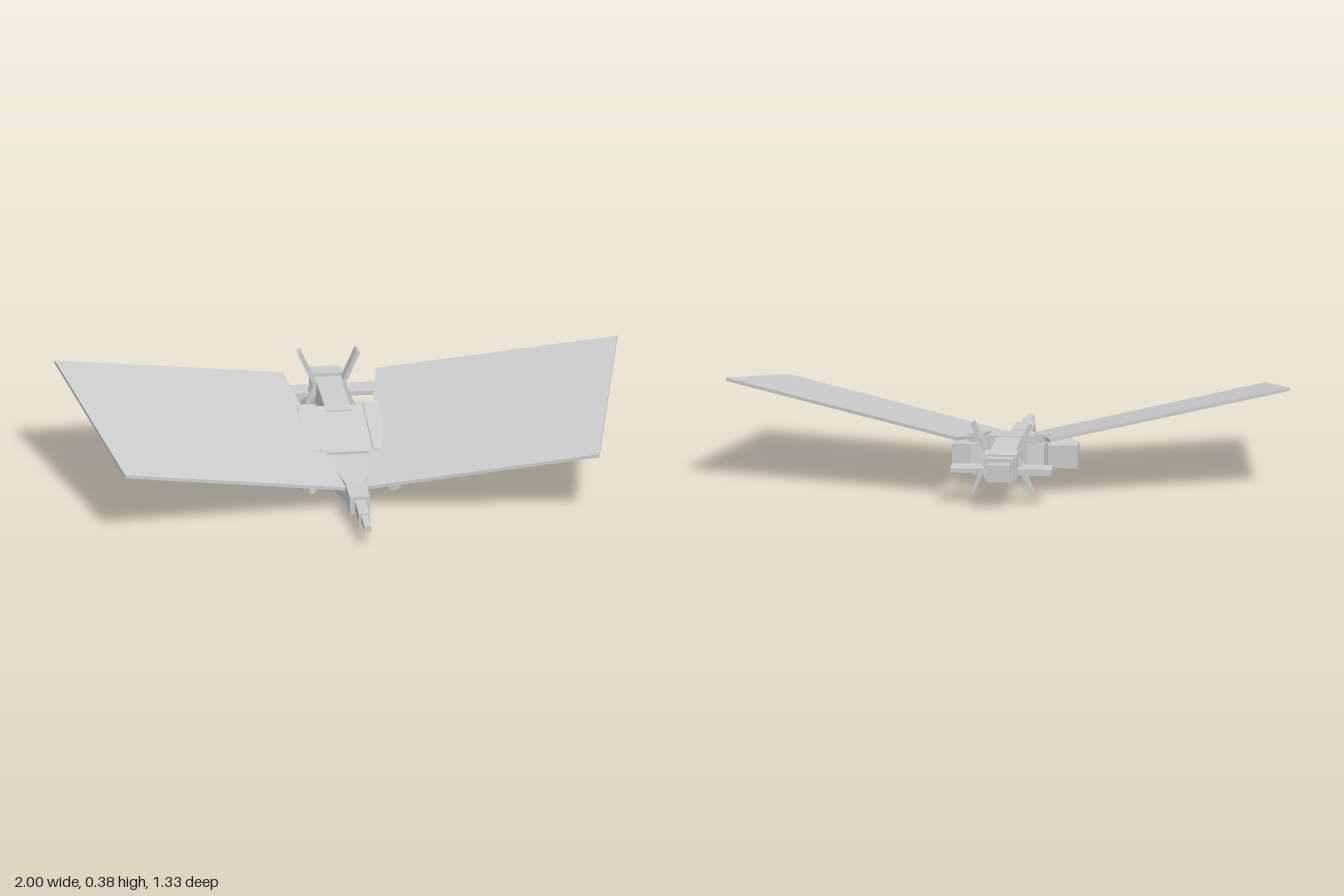
import * as THREE from 'three';

const material = new THREE.MeshStandardMaterial({ color: 0xcccccc, flatShading: true });

// Six-sided solid from two quads of matching corners; winding is fixed by the sign of its volume.
function solid(a, b) {
  const p = [...a, ...b].map((c) => new THREE.Vector3(...c));
  const e = (i) => p[i].clone().sub(p[0]);
  const flip = e(1).cross(e(3)).dot(e(4)) < 0;
  const quads = [[0, 3, 2, 1], [4, 5, 6, 7], [0, 1, 5, 4], [1, 2, 6, 5], [2, 3, 7, 6], [3, 0, 4, 7]];
  const pos = [];
  for (const q of quads) {
    const [i, j, k, l] = flip ? [...q].reverse() : q;
    for (const n of [i, j, k, i, k, l]) pos.push(p[n].x, p[n].y, p[n].z);
  }
  const g = new THREE.BufferGeometry();
  g.setAttribute('position', new THREE.Float32BufferAttribute(pos, 3));
  g.computeVertexNormals();
  return g;
}

// Block between two upright rectangles, each given as [z, x0, x1, y0, y1].
const rect = ([z, x0, x1, y0, y1]) => [[x0, y0, z], [x1, y0, z], [x1, y1, z], [x0, y1, z]];
const block = (front, back) => solid(rect(front), rect(back));

export function createModel() {
  const model = new THREE.Group();
  const add = (name, geometry) => {
    const mesh = new THREE.Mesh(geometry, material);
    mesh.name = name;
    model.add(mesh);
    return mesh;
  };
  // Centred block: sections are [z, half width, y0, y1]
  const centred = (name, [z0, w0, a0, b0], [z1, w1, a1, b1]) =>
    add(name, block([z0, -w0, w0, a0, b0], [z1, -w1, w1, a1, b1]));

  // Stepped nose
  centred('noseTip', [0.665, 0.012, 0.06, 0.083], [0.56, 0.012, 0.06, 0.083]);
  centred('noseBarrel', [0.56, 0.019, 0.053, 0.09], [0.43, 0.019, 0.053, 0.09]);
  centred('noseBase', [0.43, 0.036, 0.036, 0.102], [0.295, 0.036, 0.036, 0.102]);
  centred('neck', [0.295, 0.033, 0.03, 0.1], [0.05, 0.09, 0.03, 0.125]);

  // Tilted hull with plates above and below
  centred('hull', [0.06, 0.09, 0.015, 0.125], [-0.255, 0.09, 0.052, 0.175]);
  centred('topPlate', [0.07, 0.11, 0.115, 0.133], [-0.24, 0.11, 0.165, 0.187]);
  centred('bellyPlate', [0.045, 0.14, 0.006, 0.03], [-0.14, 0.14, 0.026, 0.052]);
  centred('rearBellyPlate', [-0.14, 0.1, 0.03, 0.06], [-0.26, 0.1, 0.05, 0.08]);

  // Tail boom and stepped tail block
  centred('tailBoom', [-0.2, 0.045, 0.09, 0.184], [-0.58, 0.045, 0.09, 0.184]);
  centred('tailCollar', [-0.53, 0.058, 0.1, 0.197], [-0.59, 0.058, 0.103, 0.192]);
  centred('tailBlock', [-0.59, 0.05, 0.105, 0.185], [-0.627, 0.05, 0.105, 0.185]);
  centred('tailEnd', [-0.627, 0.04, 0.115, 0.17], [-0.667, 0.04, 0.115, 0.17]);

  for (const s of [1, -1]) {
    const side = s > 0 ? 'left' : 'right';

    // Swept, raised wing panel
    const top = [[0.035, 0.09, 0.303], [0.843, 0.248, 0.49], [1, 0.389, -0.28], [0.165, 0.229, -0.475]]
      .map(([x, y, z]) => [s * x, y, z]);
    add(side + 'Wing', solid(top, top.map(([x, y, z]) => [x, y - 0.012, z])));

    // Rail between top plate and wing
    add(side + 'Rail', block([0.07, s * 0.09, s * 0.145, 0.12, 0.142], [-0.24, s * 0.09, s * 0.145, 0.165, 0.196]));

    // Rear engine box, tilted with the hull
    const engine = (x) => [[x, 0.145, -0.14], [x, 0.172, -0.297], [x, 0.081, -0.308], [x, 0.06, -0.152]];
    add(side + 'Engine', solid(engine(s * 0.07), engine(s * 0.13)));

    // Wedge-fronted side pod
    const plan = new THREE.Shape([[0.13, 0.185], [0.15, 0.195], [0.17, 0.17], [0.222, 0.07],
      [0.222, 0], [0.08, 0], [0.09, 0.08]].map(([x, z]) => new THREE.Vector2(s * x, -z)));
    const pod = new THREE.ExtrudeGeometry(plan, { depth: 0.082, bevelEnabled: false });
    add(side + 'Pod', pod.rotateX(-Math.PI / 2).translate(0, 0.026, 0));

    // Flat tailplane
    add(side + 'Tailplane', block([-0.49, s * 0.03, s * 0.18, 0.122, 0.138], [-0.577, s * 0.03, s * 0.18, 0.122, 0.138]));

    // Splayed fins above and below the tail
    const fin = (z, flip) => [[0.035, 0.155], [0.049, 0.15], [0.11, 0.287], [0.098, 0.295]]
      .map(([x, y]) => [s * x, flip ? 0.335 - y : y, z]);
    add(side + 'UpperFin', solid(fin(-0.48, false), fin(-0.533, false)));
    add(side + 'LowerFin', solid(fin(-0.48, true), fin(-0.533, true)));
  }
  return model;
}
